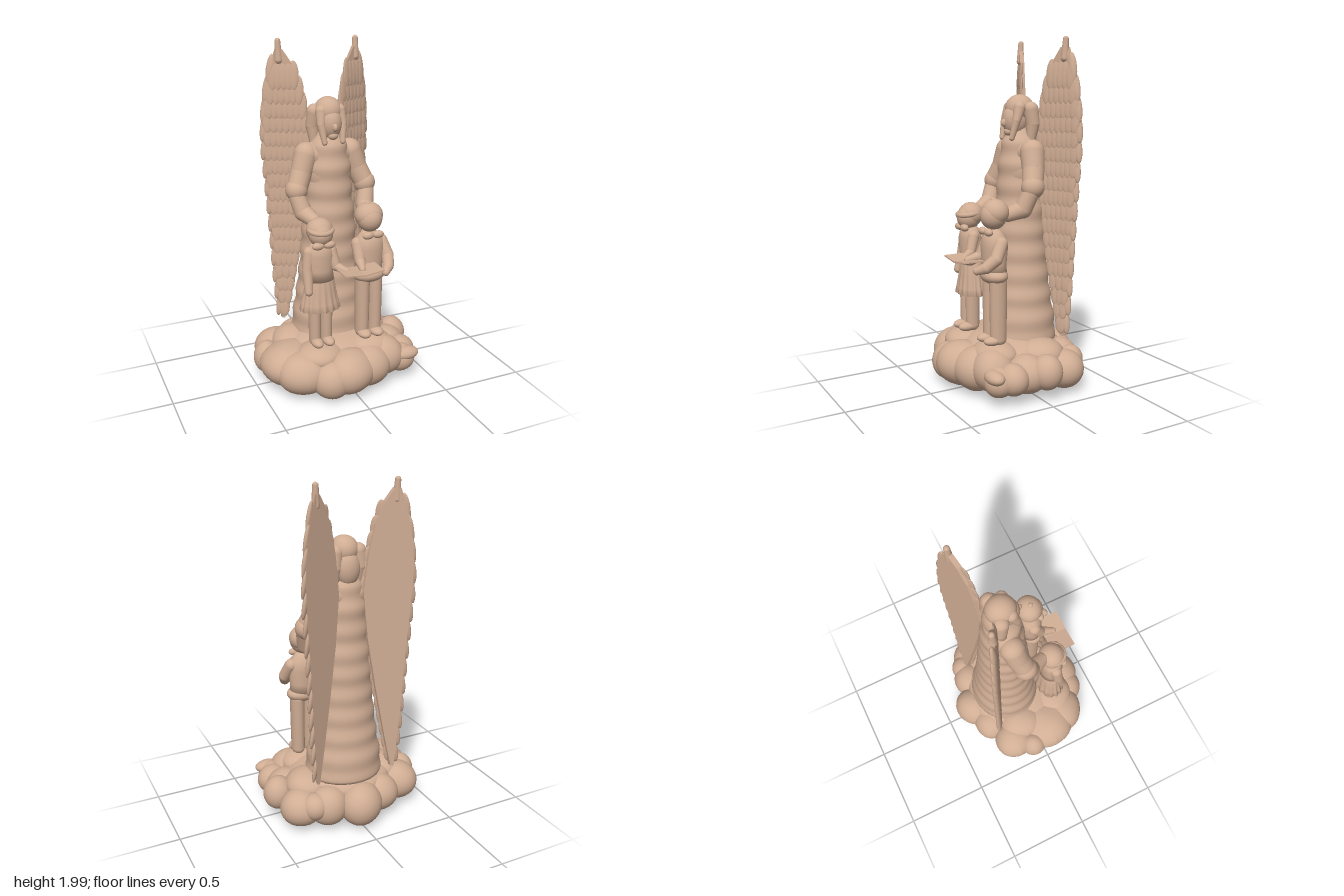
import * as THREE from 'three';
import { mergeGeometries } from 'three/addons/utils/BufferGeometryUtils.js';

const clay = new THREE.MeshStandardMaterial({ color: 0xd0ad94 });
clay.name = 'clay';

const V = (p) => new THREE.Vector3(...p);

function add(parent, name, geometry) {
  const mesh = new THREE.Mesh(geometry, clay);
  mesh.name = name;
  parent.add(mesh);
  return mesh;
}

function group(parent, name) {
  const g = new THREE.Group();
  g.name = name;
  parent.add(g);
  return g;
}

function ellipsoid([x, y, z], [rx, ry, rz], ws = 24, hs = 16) {
  return new THREE.SphereGeometry(1, ws, hs).scale(rx, ry, rz).translate(x, y, z);
}

const ball = (parent, name, c, r) => add(parent, name, ellipsoid(c, r));

// Rounded limb through joints, each joint being [x, y, z, radius]
function limb(parent, name, joints) {
  const parts = joints.map(([x, y, z, r]) => ellipsoid([x, y, z], [r, r, r], 18, 12));
  for (let i = 1; i < joints.length; i++) {
    const a = V(joints[i - 1].slice(0, 3)), b = V(joints[i].slice(0, 3));
    const dir = b.clone().sub(a), len = dir.length();
    const q = new THREE.Quaternion().setFromUnitVectors(new THREE.Vector3(0, 1, 0), dir.normalize());
    const c = a.add(b).multiplyScalar(0.5);
    parts.push(new THREE.CylinderGeometry(joints[i][3], joints[i - 1][3], len, 18)
      .applyQuaternion(q).translate(c.x, c.y, c.z));
  }
  return add(parent, name, mergeGeometries(parts));
}

// Linear lookup in a table of [y, value] with rising y
function lookup(table, y) {
  for (let i = 1; i < table.length; i++) {
    const [y0, v0] = table[i - 1], [y1, v1] = table[i];
    if (y <= y1) return v0 + (v1 - v0) * Math.max(0, (y - y0) / (y1 - y0));
  }
  return table[table.length - 1][1];
}

function lathe(points, segments = 48) {
  return new THREE.LatheGeometry(points.map(([r, y]) => new THREE.Vector2(r, y)), segments);
}

function billow(parent, [x, y, z, rx, ry, rz]) {
  const geo = ellipsoid([0, 0, 0], [rx, ry, rz], 32, 20);
  const p = geo.attributes.position;
  for (let i = 0; i < p.count; i++) {
    const k = 1 + 0.025 * Math.sin(22 * p.getX(i) + 9 * x) * Math.sin(25 * p.getZ(i) + 7 * z);
    p.setXYZ(i, p.getX(i) * k, p.getY(i) * k, p.getZ(i) * k);
  }
  geo.computeVertexNormals();
  add(parent, 'billow', geo.translate(x, y, z));
}

// Cloud: a lumpy core ringed by billows, [x, y, z, rx, ry, rz]
function buildCloud(root) {
  const cloud = group(root, 'cloud');
  const billows = [
    [0, 0.165, 0, 0.38, 0.14, 0.34], [0, 0.22, -0.02, 0.31, 0.11, 0.3],
    [-0.17, 0.235, 0.18, 0.14, 0.075, 0.13], [0.15, 0.235, 0.17, 0.15, 0.078, 0.13],
    [0.24, 0.22, -0.08, 0.13, 0.09, 0.14], [-0.24, 0.22, -0.08, 0.13, 0.09, 0.14],
    [0, 0.14, -0.305, 0.13, 0.13, 0.125], [-0.15, 0.15, -0.25, 0.12, 0.11, 0.115],
    [-0.32, 0.15, -0.17, 0.13, 0.115, 0.125], [-0.41, 0.15, -0.07, 0.08, 0.1, 0.08],
    [-0.3, 0.16, 0.07, 0.19, 0.125, 0.19], [-0.27, 0.15, 0.19, 0.16, 0.125, 0.15],
    [-0.14, 0.13, 0.3, 0.12, 0.115, 0.11], [-0.03, 0.15, 0.28, 0.16, 0.13, 0.15],
    [0.1, 0.15, 0.26, 0.14, 0.125, 0.13], [0.22, 0.17, 0.22, 0.13, 0.12, 0.12],
    [0.33, 0.14, 0.24, 0.09, 0.085, 0.085], [0.36, 0.15, 0.17, 0.095, 0.09, 0.085],
    [0.32, 0.15, 0.06, 0.12, 0.11, 0.12], [0.4, 0.17, -0.02, 0.09, 0.1, 0.09],
    [0.32, 0.14, -0.18, 0.125, 0.11, 0.125], [0.18, 0.15, -0.25, 0.12, 0.12, 0.11],
    [0.27, 0.17, -0.26, 0.08, 0.08, 0.08], [0.35, 0.18, 0.28, 0.08, 0.04, 0.05],
  ];
  billows.forEach((b) => billow(cloud, b));
  // Broad lumps underneath
  for (let i = 0; i < 5; i++) {
    const a = i * Math.PI * 2 / 5;
    billow(cloud, [0.15 * Math.sin(a), 0.14, 0.14 * Math.cos(a), 0.2, 0.123, 0.18]);
  }
}

// Wing: flat leaning plate with overlapping feather rows on its front
function buildWing(root, s) {
  const wing = group(root, s > 0 ? 'leftWing' : 'rightWing');
  const outer = [[0.3, 0.248], [0.6, 0.27], [1.0, 0.29], [1.4, 0.316], [1.55, 0.318],
    [1.7, 0.303], [1.82, 0.282], [1.94, 0.248]];
  const inner = [[0.3, 0.232], [0.5, 0.195], [0.8, 0.145], [1.1, 0.1], [1.38, 0.075],
    [1.6, 0.1], [1.75, 0.13], [1.87, 0.175], [1.94, 0.218]];
  const lean = new THREE.Matrix4().set(1, 0, 0, 0, 0, 1, 0, 0, -0.47 * s, 0, 1, -0.139, 0, 0, 0, 1);

  const outline = [...outer, ...inner.slice().reverse()].map(([y, x]) => new THREE.Vector2(s * x, y));
  const plate = new THREE.ExtrudeGeometry(new THREE.Shape(outline), { depth: 0.028, bevelEnabled: false });
  add(wing, 'wingPlate', plate.applyMatrix4(lean));

  const feathers = [];
  const feather = (x, y, z, size, tilt) => feathers.push(
    ellipsoid([0, 0, 0], size, 12, 10).rotateX(-0.08).rotateZ(s * tilt)
      .translate(s * x, y, z).applyMatrix4(lean));
  for (let row = 0; row < 18; row++) {
    const y = 0.4 + row * 0.082;
    const a = lookup(inner, y) + 0.018, b = lookup(outer, y) - 0.014;
    const n = Math.max(2, Math.round((b - a) / 0.03) + 1);
    for (let i = 0; i < n; i++) feather(a + (b - a) * i / (n - 1), y, 0.027, [0.028, 0.085, 0.011], 0.03);
  }
  // Long feathers stepping down the outer edge
  for (let y = 0.4; y < 1.85; y += 0.11) {
    feather(lookup(outer, y) + 0.001, y, 0.018, [0.02, 0.085, 0.017], 0.17);
  }
  add(wing, 'feathers', mergeGeometries(feathers));
  limb(wing, 'wingTip', [[s * 0.235, 1.88, -0.23, 0.022], [s * 0.237, 1.984, -0.235, 0.016]]);
}

function buildAngel(root) {
  const angel = group(root, 'angel');

  // Robe with soft horizontal folds
  const radius = [[0.27, 0.21], [0.36, 0.208], [0.5, 0.186], [0.65, 0.168], [0.8, 0.154],
    [1.0, 0.142], [1.1, 0.13], [1.3, 0.118], [1.42, 0.095], [1.5, 0.05]];
  const profile = [[0, 0.27]];
  for (let i = 0; i <= 80; i++) {
    const y = 0.27 + i * 1.23 / 80;
    profile.push([lookup(radius, y) + 0.004 * Math.sin(y * 50), y]);
  }
  profile.push([0, 1.5]);
  add(angel, 'robe', lathe(profile).scale(1.08, 1, 1)).position.z = -0.08;
  ball(angel, 'shoulders', [0, 1.36, -0.09], [0.185, 0.085, 0.085]);
  ball(angel, 'chest', [0, 1.25, -0.06], [0.13, 0.16, 0.092]);

  for (const s of [1, -1]) {
    limb(angel, 'sleeve', [[s * 0.135, 1.365, -0.085, 0.07], [s * 0.17, 1.27, -0.07, 0.063],
      [s * 0.205, 1.19, -0.045, 0.06]]);
    ball(angel, 'elbow', [s * 0.212, 1.175, -0.042], [0.064, 0.066, 0.066]);
    limb(angel, 'forearm', [[s * 0.215, 1.14, -0.025, 0.048], [s * 0.192, 1.055, 0.008, 0.052],
      [s * 0.16, 1.025, 0.085, 0.04]]);
    // Hair locks beside the face
    limb(angel, 'hairLock', [[s * 0.055, 1.61, -0.05, 0.035], [s * 0.066, 1.54, -0.025, 0.024],
      [s * 0.055, 1.44, 0, 0.015]]);
    limb(angel, 'hairSide', [[s * 0.07, 1.6, -0.115, 0.044], [s * 0.078, 1.52, -0.125, 0.04],
      [s * 0.075, 1.44, -0.115, 0.028]]);
  }
  limb(angel, 'neck', [[0, 1.42, -0.08, 0.07], [0, 1.5, -0.08, 0.055]]);
  ball(angel, 'head', [0, 1.54, -0.055], [0.068, 0.095, 0.077]);
  ball(angel, 'hairCrown', [0, 1.605, -0.083], [0.08, 0.08, 0.085]);
  ball(angel, 'hairBack', [0, 1.51, -0.13], [0.07, 0.1, 0.055]);
  ball(angel, 'nose', [0, 1.525, 0.015], [0.016, 0.024, 0.024]);
  ball(angel, 'chin', [0, 1.475, -0.01], [0.03, 0.024, 0.024]);
}

function buildLegs(child, xs, top, r) {
  for (const x of xs) {
    const leg = limb(child, 'leg', [[x, 0.33, 0, r * 0.92], [x, top, 0, r]]);
    leg.geometry.scale(1, 1, 1.22).translate(0, 0, 0.165);
    ball(child, 'shoe', [x, 0.325, 0.2], [r * 0.92, 0.027, 0.055]);
  }
}

function buildGirl(root) {
  const girl = group(root, 'girl');
  buildLegs(girl, [-0.192, -0.122], 0.56, 0.036);

  // Pleated skirt
  const skirt = lathe([[0, 0.535], [0.1, 0.53], [0.118, 0.52], [0.108, 0.56], [0.095, 0.63],
    [0.085, 0.7], [0.07, 0.73], [0, 0.735]], 96);
  const p = skirt.attributes.position;
  for (let i = 0; i < p.count; i++) {
    const x = p.getX(i), z = p.getZ(i), flare = Math.min(1, Math.max(0, (0.71 - p.getY(i)) / 0.16));
    const k = 1 + 0.05 * flare * Math.cos(16 * Math.atan2(x, z));
    p.setXYZ(i, x * k, p.getY(i), z * k * 0.72);
  }
  skirt.computeVertexNormals();
  add(girl, 'skirt', skirt).position.set(-0.155, 0, 0.155);

  add(girl, 'blouse', lathe([[0, 0.7], [0.08, 0.7], [0.074, 0.76], [0.082, 0.85], [0.07, 0.9],
    [0.035, 0.93], [0, 0.94]]).scale(1, 1, 0.8)).position.set(-0.155, 0, 0.16);
  limb(girl, 'rightArm', [[-0.22, 0.87, 0.16, 0.034], [-0.235, 0.77, 0.17, 0.031], [-0.24, 0.65, 0.2, 0.024]]);
  limb(girl, 'leftArm', [[-0.095, 0.87, 0.17, 0.034], [-0.075, 0.78, 0.2, 0.028], [-0.035, 0.765, 0.262, 0.016]]);
  for (const s of [1, -1]) ball(girl, 'collar', [-0.155 + s * 0.033, 0.92, 0.215], [0.036, 0.022, 0.022]);
  ball(girl, 'head', [-0.155, 0.975, 0.17], [0.07, 0.072, 0.07]);
  ball(girl, 'hair', [-0.155, 0.992, 0.155], [0.077, 0.07, 0.073]);
  add(girl, 'hairBand', new THREE.TorusGeometry(0.064, 0.015, 10, 32).rotateX(Math.PI / 2 + 0.15))
    .position.set(-0.155, 1.0, 0.168);
}

function buildBoy(root) {
  const boy = group(root, 'boy');
  buildLegs(boy, [0.107, 0.187], 0.66, 0.043);
  ball(boy, 'waist', [0.147, 0.69, 0.17], [0.1, 0.05, 0.072]);
  add(boy, 'shirt', lathe([[0, 0.68], [0.085, 0.69], [0.082, 0.76], [0.092, 0.85], [0.08, 0.91],
    [0.04, 0.95], [0, 0.96]]).scale(1, 1, 0.78)).position.set(0.145, 0, 0.167);
  limb(boy, 'leftArm', [[0.222, 0.88, 0.165, 0.038], [0.245, 0.8, 0.21, 0.036],
    [0.225, 0.755, 0.26, 0.032], [0.19, 0.735, 0.298, 0.022]]);
  limb(boy, 'rightArm', [[0.075, 0.88, 0.165, 0.038], [0.07, 0.79, 0.21, 0.032], [0.05, 0.77, 0.285, 0.018]]);
  for (const s of [1, -1]) ball(boy, 'collar', [0.145 + s * 0.032, 0.94, 0.22], [0.034, 0.022, 0.022]);
  ball(boy, 'head', [0.145, 1.025, 0.17], [0.073, 0.078, 0.076]);
  ball(boy, 'hair', [0.145, 1.042, 0.16], [0.082, 0.074, 0.077]);
  ball(boy, 'tuft', [0.135, 1.112, 0.165], [0.016, 0.012, 0.016]);
}

// Open book shared by the children
function buildBook(root) {
  const book = group(root, 'book');
  for (const s of [1, -1]) {
    const page = add(book, 'page', new THREE.BoxGeometry(0.122, 0.008, 0.14).translate(s * 0.06, 0, 0));
    page.position.set(0.03, 0.762, 0.29);
    page.rotation.z = s * 0.12;
  }
}

export function createModel() {
  const root = new THREE.Group();
  root.name = 'guardianFigurine';
  buildCloud(root);
  buildAngel(root);
  for (const s of [1, -1]) buildWing(root, s);
  buildGirl(root);
  buildBoy(root);
  buildBook(root);
  return root;
}
